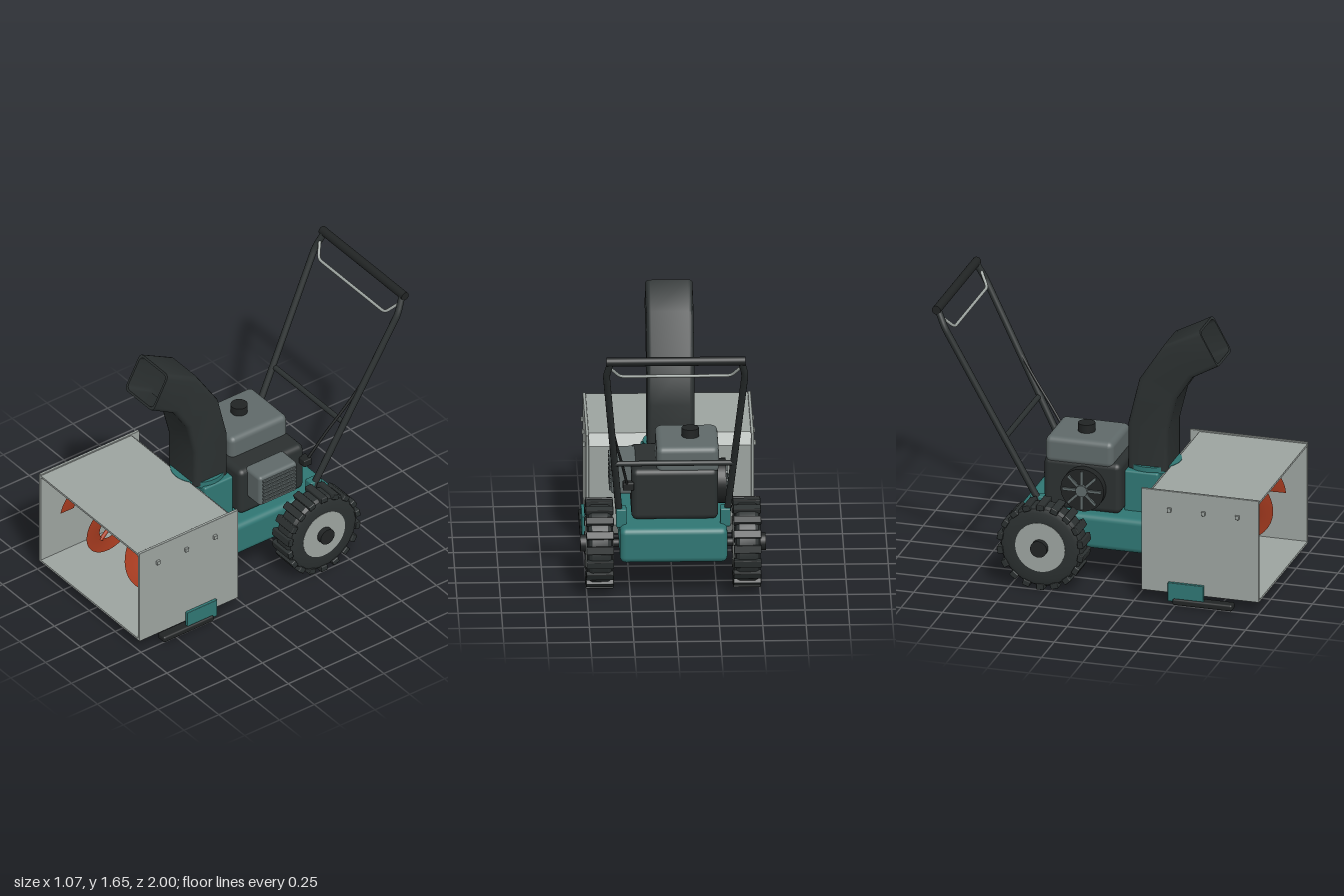
import * as THREE from 'three';
import { RoundedBoxGeometry } from 'three/addons/geometries/RoundedBoxGeometry.js';
import { ParametricGeometry } from 'three/addons/geometries/ParametricGeometry.js';
import { toCreasedNormals } from 'three/addons/utils/BufferGeometryUtils.js';

const mat = (color, side = THREE.FrontSide) => new THREE.MeshStandardMaterial({ color, side });
const V = (x, y, z) => new THREE.Vector3(x, y, z);

export function createModel() {
  const root = new THREE.Group();
  const teal = mat(0x2f7673), dark = mat(0x2b3030), black = mat(0x212424), steel = mat(0x9ca39f);
  const engineGrey = mat(0x5f6969), gearGrey = mat(0x6c7272), red = mat(0xb03f22, THREE.DoubleSide);
  const chuteMat = mat(0x2b3030, THREE.DoubleSide);

  const add = (name, geo, m, parent = root) => {
    const mesh = new THREE.Mesh(geo, m);
    mesh.name = name;
    parent.add(mesh);
    return mesh;
  };
  // Box given by its limits, with optional rounded edges
  const box = (name, m, x0, x1, y0, y1, z0, z1, r = 0, parent = root) => {
    const [w, h, d] = [x1 - x0, y1 - y0, z1 - z0];
    const mesh = add(name, r ? new RoundedBoxGeometry(w, h, d, 3, r) : new THREE.BoxGeometry(w, h, d), m, parent);
    mesh.position.set((x0 + x1) / 2, (y0 + y1) / 2, (z0 + z1) / 2);
    return mesh;
  };
  // Cylinder between two points
  const rod = (name, m, a, b, r, parent = root, sides = 24) => {
    const dir = b.clone().sub(a);
    const mesh = add(name, new THREE.CylinderGeometry(r, r, dir.length(), sides), m, parent);
    mesh.position.copy(a).add(b).multiplyScalar(0.5);
    mesh.quaternion.setFromUnitVectors(V(0, 1, 0), dir.normalize());
    return mesh;
  };
  // Round tube through straight runs with short bends
  const pipe = (name, m, pts, r, parent = root) => {
    const path = new THREE.CurvePath();
    let last = pts[0];
    for (let i = 1; i < pts.length - 1; i++) {
      const toward = (q) => pts[i].clone().add(q.clone().sub(pts[i]).setLength(0.03));
      const a = toward(pts[i - 1]), b = toward(pts[i + 1]);
      path.add(new THREE.LineCurve3(last, a));
      path.add(new THREE.QuadraticBezierCurve3(a, pts[i], b));
      last = b;
    }
    path.add(new THREE.LineCurve3(last, pts[pts.length - 1]));
    return add(name, new THREE.TubeGeometry(path, 80, r, 12), m, parent);
  };

  // Collector housing: bent sheet with chamfered rear corners, plus two side plates
  const sheet = new THREE.Shape([
    [1, 0.692], [0.35, 0.692], [0.295, 0.63], [0.295, 0.145], [0.35, 0.073], [1, 0.073],
    [1, 0.086], [0.356, 0.086], [0.308, 0.149], [0.308, 0.625], [0.356, 0.679], [1, 0.679],
  ].map(([z, y]) => new THREE.Vector2(z, y)));
  const sheetGeo = new THREE.ExtrudeGeometry(sheet, { depth: 0.95, bevelEnabled: false });
  sheetGeo.translate(0, 0, -0.475).rotateY(-Math.PI / 2);
  add('housingSheet', sheetGeo, steel);
  for (const s of [-1, 1]) {
    const side = new THREE.Group();
    side.name = s > 0 ? 'leftHousingSide' : 'rightHousingSide';
    root.add(side);
    const b = (name, m, x0, x1, ...rest) => box(name, m, Math.min(s * x0, s * x1), Math.max(s * x0, s * x1), ...rest, side);
    b('sidePlate', steel, 0.467, 0.485, 0.07, 0.70, 0.29, 1, 0.004);
    for (const z of [0.87, 0.665, 0.46]) b('bolt', steel, 0.48, 0.5, 0.573, 0.598, z - 0.012, z + 0.012, 0.003);
    b('skidBracket', teal, 0.485, 0.505, 0.025, 0.14, 0.455, 0.67, 0.004);
    b('skidShoe', black, 0.45, 0.515, 0.006, 0.045, 0.485, 0.845, 0.012);
  }

  // Auger: shaft, gearbox and two mirrored helical ribbons held by spokes
  const axisY = 0.38, axisZ = 0.65;
  rod('augerShaft', steel, V(-0.47, axisY, axisZ), V(0.47, axisY, axisZ), 0.027);
  rod('augerGearbox', gearGrey, V(-0.05, axisY, axisZ), V(0.05, axisY, axisZ), 0.083, root, 32);
  for (const s of [-1, 1]) {
    const onHelix = (x, r, out) => {
      const a = (x - 0.12) / 0.255 * Math.PI * 2;
      return out.set(s * x, axisY + r * Math.cos(a), axisZ + r * Math.sin(a));
    };
    add('augerRibbon', new ParametricGeometry(
      (u, v, out) => onHelix(0.057 + 0.381 * u, 0.135 + 0.095 * v, out), 90, 2), red);
    for (const x of [0.075, 0.215, 0.42])
      rod('augerSpoke', red, V(s * x, axisY, axisZ), onHelix(x, 0.15, V(0, 0, 0)), 0.012, root, 10);
  }

  // Chassis
  box('chassis', teal, -0.31, 0.31, 0.21, 0.42, -0.52, 0.29, 0.035);
  box('chuteNeck', teal, -0.17, 0.17, 0.38, 0.665, 0.09, 0.295, 0.012);
  rod('chuteCollar', teal, V(0, 0.655, 0.22), V(0, 0.695, 0.22), 0.16, root, 40);

  // Discharge chute: rounded rectangular duct, open at the end; rows are rear z,y and front z,y
  const stations = [
    [0.10, 0.67, 0.34, 0.67], [0.10, 0.95, 0.34, 0.92], [0.165, 1.22, 0.39, 1.12],
    [0.315, 1.45, 0.485, 1.265], [0.53, 1.565, 0.645, 1.355],
  ];
  const ring = ([z0, y0, z1, y1], inset) => {
    const a = V(0, y0, z0), b = V(0, y1, z1), mid = a.clone().add(b).multiplyScalar(0.5);
    const dir = b.clone().sub(a), hd = dir.length() / 2 - inset, hw = 0.137 - inset, r = 0.028;
    dir.normalize();
    const pts = [];
    [[1, 1], [-1, 1], [-1, -1], [1, -1]].forEach(([sx, sd], k) => {
      for (let i = 0; i <= 3; i++) {
        const t = (k + i / 3) * Math.PI / 2;
        const p = mid.clone().addScaledVector(dir, sd * (hd - r) + r * Math.sin(t));
        p.x = sx * (hw - r) + r * Math.cos(t);
        pts.push(p);
      }
    });
    return pts;
  };
  const rings = [...stations.map((q) => ring(q, 0)), ...stations.slice().reverse().map((q) => ring(q, 0.014))];
  const n = rings[0].length, index = [];
  for (let j = 0; j < rings.length - 1; j++)
    for (let i = 0; i < n; i++) {
      const a = j * n + i, b = j * n + (i + 1) % n;
      index.push(a, a + n, b, b, a + n, b + n);
    }
  // Turn the winding outward
  for (let i = 0; i < index.length; i += 3) [index[i + 1], index[i + 2]] = [index[i + 2], index[i + 1]];
  const duct = new THREE.BufferGeometry().setFromPoints(rings.flat());
  duct.setIndex(index);
  add('dischargeChute', toCreasedNormals(duct, 0.6), chuteMat);

  // Engine
  box('engineBlock', dark, -0.26, 0.24, 0.42, 0.73, -0.37, 0.095, 0.035);
  box('engineCover', engineGrey, -0.265, 0.095, 0.70, 0.86, -0.36, 0.05, 0.035);
  rod('fuelCap', black, V(-0.105, 0.85, -0.155), V(-0.105, 0.91, -0.155), 0.05);
  box('muffler', engineGrey, 0.205, 0.355, 0.53, 0.735, -0.235, 0.04, 0.022);
  for (let i = 0; i < 7; i++) {
    const y = 0.555 + i * 0.025;
    box('mufflerLouvre', engineGrey, 0.34, 0.364, y - 0.007, y + 0.007, -0.215, 0.02, 0.003);
  }
  box('throttleBracket', black, 0.225, 0.29, 0.61, 0.655, -0.385, -0.33, 0.006);
  const starter = new THREE.Group();
  starter.name = 'recoilStarter';
  starter.position.set(-0.26, 0.57, -0.12);
  root.add(starter);
  rod('starterHousing', black, V(0.02, 0, 0), V(-0.05, 0, 0), 0.13, starter, 36);
  rod('starterHub', engineGrey, V(-0.05, 0, 0), V(-0.07, 0, 0), 0.035, starter);
  for (let i = 0; i < 8; i++) {
    const rib = box('starterRib', engineGrey, -0.062, -0.045, 0.03, 0.115, -0.008, 0.008, 0, starter);
    const a = i * Math.PI / 4;
    rib.position.set(-0.053, 0.075 * Math.cos(a), 0.075 * Math.sin(a));
    rib.rotation.x = a;
  }

  // Wheels with lugged tyres
  rod('wheelAxle', black, V(-0.4, 0.265, -0.315), V(0.4, 0.265, -0.315), 0.025);
  const tyreProfile = [[0.03, -0.075], [0.21, -0.075], [0.235, -0.065], [0.247, -0.045], [0.247, 0.045],
    [0.235, 0.065], [0.21, 0.075], [0.15, 0.075], [0.145, 0.06], [0.03, 0.06]].map(([r, h]) => new THREE.Vector2(r, h));
  const tyreGeo = toCreasedNormals(new THREE.LatheGeometry(tyreProfile, 40), 0.5);
  for (const s of [-1, 1]) {
    const wheel = new THREE.Group();
    wheel.name = s > 0 ? 'leftWheel' : 'rightWheel';
    wheel.position.set(s * 0.425, 0.265, -0.315);
    wheel.rotation.y = s > 0 ? 0 : Math.PI;
    root.add(wheel);
    add('tyre', tyreGeo, dark, wheel).rotation.z = -Math.PI / 2;
    rod('rim', steel, V(-0.078, 0, 0), V(0.077, 0, 0), 0.15, wheel, 40);
    rod('hubCap', black, V(0.07, 0, 0), V(0.11, 0, 0), 0.05, wheel);
    for (let i = 0; i < 18; i++) {
      const a = (i / 18) * Math.PI * 2;
      const lug = add('tyreLug', new RoundedBoxGeometry(0.16, 0.035, 0.046, 1, 0.005), dark, wheel);
      lug.position.set(0, 0.245 * Math.cos(a), 0.245 * Math.sin(a));
      lug.rotation.x = a;
    }
  }

  // Handlebar
  for (const s of [-1, 1]) {
    pipe('handleTube', dark, [V(s * 0.308, 0.43, -0.355), V(s * 0.4, 1.52, -0.92), V(s * 0.375, 1.622, -0.97)], 0.02);
    box('handleMount', teal, s * 0.3 - 0.03, s * 0.3 + 0.03, 0.4, 0.51, -0.43, -0.35, 0.008);
  }
  rod('handleGrip', black, V(-0.4, 1.622, -0.972), V(0.4, 1.622, -0.972), 0.026);
  rod('handleCrossbar', dark, V(-0.345, 0.85, -0.58), V(0.345, 0.85, -0.58), 0.016);
  pipe('controlLever', steel, [V(-0.385, 1.58, -0.945), V(-0.32, 1.5, -0.885), V(0.32, 1.5, -0.885), V(0.385, 1.58, -0.945)], 0.009);
  const cable = new THREE.CatmullRomCurve3([V(0.265, 0.64, -0.37), V(0.295, 0.8, -0.48), V(0.33, 0.96, -0.6), V(0.36, 1.12, -0.71)]);
  add('controlCable', new THREE.TubeGeometry(cable, 30, 0.008, 8), black);

  return root;
}
